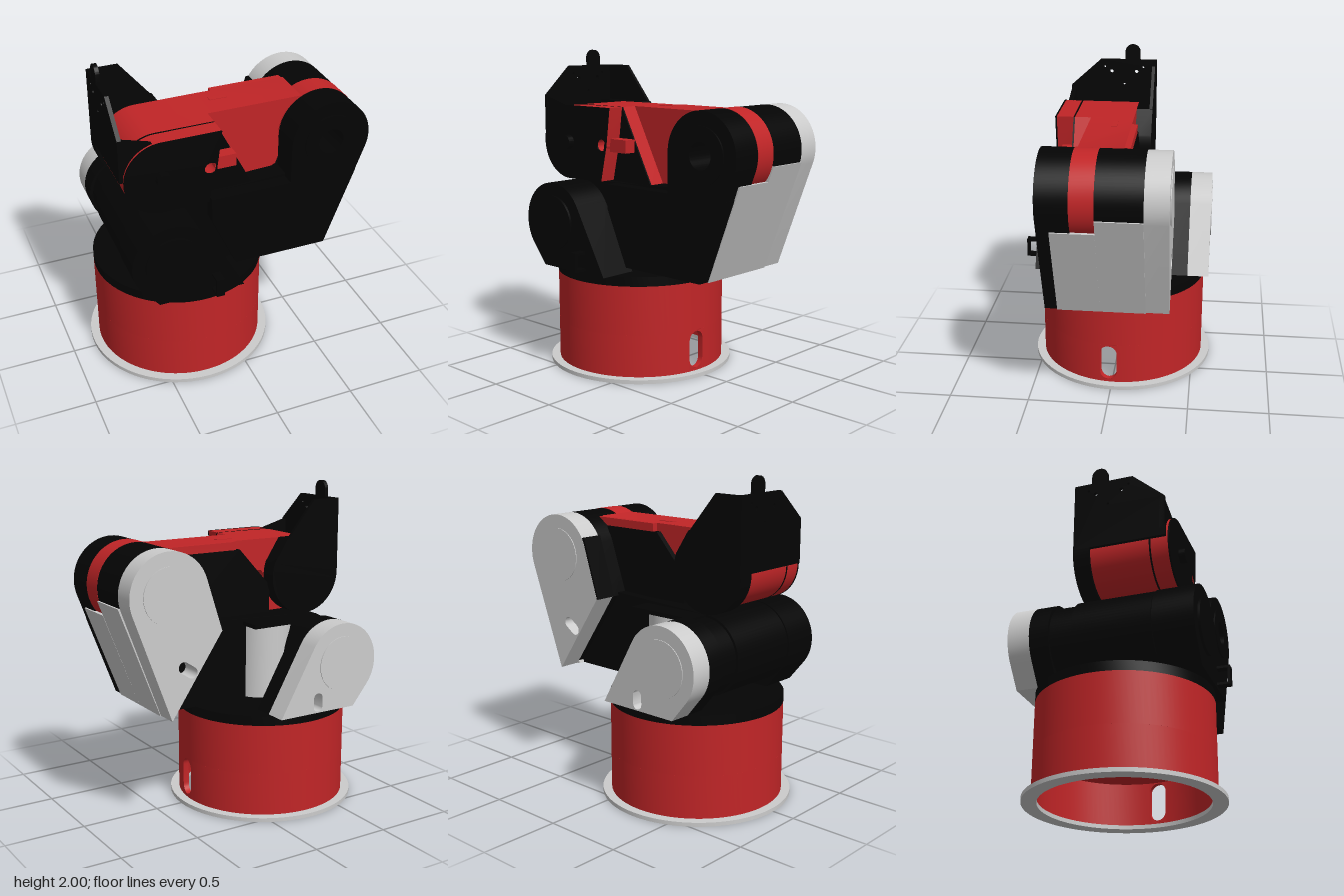
import * as THREE from 'three';
import { toCreasedNormals } from 'three/addons/utils/BufferGeometryUtils.js';

const mat = (color) => new THREE.MeshStandardMaterial({ color, side: THREE.DoubleSide });
const BLACK = mat(0x040404), RED = mat(0xc12527), GREY = mat(0xcccccc);

// Points on an arc, angles in degrees
function arc(cx, cy, r, a0 = 0, a1 = 360, n = 72) {
  return Array.from({ length: n + 1 }, (_, i) => {
    const a = THREE.MathUtils.degToRad(a0 + ((a1 - a0) * i) / n);
    return [cx + r * Math.cos(a), cy + r * Math.sin(a)];
  });
}

// Convex outline around a set of points
function hull(...pts) {
  const sorted = pts.sort((a, b) => a[0] - b[0] || a[1] - b[1]);
  const half = (list) => {
    const h = [];
    for (const p of list) {
      while (h.length > 1) {
        const [a, b] = h.slice(-2);
        if ((b[0] - a[0]) * (p[1] - a[1]) - (b[1] - a[1]) * (p[0] - a[0]) > 1e-9) break;
        h.pop();
      }
      h.push(p);
    }
    return h.slice(0, -1);
  };
  return [...half(sorted), ...half([...sorted].reverse())];
}

// Slot outline between two centres
const slot = (x0, y0, x1, y1, r) => hull(...arc(x0, y0, r, 0, 360, 24), ...arc(x1, y1, r, 0, 360, 24));

function extrude(points, depth, holes = []) {
  const toV = (list) => list.map(([x, y]) => new THREE.Vector2(x, y));
  const shape = new THREE.Shape(toV(points));
  shape.holes = holes.map((h) => new THREE.Path(toV(h)));
  return new THREE.ExtrudeGeometry(shape, { depth, bevelEnabled: false });
}

export function createModel() {
  const model = new THREE.Group();
  const add = (name, geo, material) => {
    const mesh = new THREE.Mesh(toCreasedNormals(geo, 0.5), material);
    mesh.name = name;
    model.add(mesh);
  };
  // Flat part with its outline in x/y, between two z values
  const slab = (name, points, z0, z1, material, holes) =>
    add(name, extrude(points, z1 - z0, holes).translate(0, 0, z0), material);
  const box = (name, x0, x1, y0, y1, z0, z1, material) =>
    add(name, new THREE.BoxGeometry(x1 - x0, y1 - y0, z1 - z0)
      .translate((x0 + x1) / 2, (y0 + y1) / 2, (z0 + z1) / 2), material);

  // ---- Base: hollow drum with a slot in its side ----
  const bx = -0.265, bz = -0.025, R = 0.535, RI = 0.5;
  const ring = (name, ri, ro, y0, y1, material, start = 0, length = Math.PI * 2) => {
    const profile = [[ri, y0], [ro, y0], [ro, y1], [ri, y1], [ri, y0]].map((p) => new THREE.Vector2(...p));
    add(name, new THREE.LatheGeometry(profile, 96, start, length).translate(bx, 0, bz), material);
  };
  const slotAngle = Math.PI / 2 - 0.084, span = 0.115, slotTop = 0.29;
  ring('baseFlange', RI, 0.59, 0, 0.025, GREY);
  ring('drumWallUpper', RI, R, slotTop, 0.6, RED);
  ring('drumWallLower', RI, R, 0.025, slotTop, RED, slotAngle + span, Math.PI * 2 - 2 * span);
  const steps = Array.from({ length: 9 }, (_, i) => -span + (i * span) / 4);
  const slotWall = extrude([...steps.map((a) => [a, 0.025]), ...steps.map((a) => [-a, slotTop])], R - RI,
    [slot(0, 0.1, 0, 0.225, 0.055).map(([x, y]) => [x / R, y])]);
  const pos = slotWall.attributes.position;
  for (let i = 0; i < pos.count; i++) {
    const a = slotAngle + pos.getX(i), r = RI + pos.getZ(i);
    pos.setXYZ(i, bx + r * Math.sin(a), pos.getY(i), bz + r * Math.cos(a));
  }
  slotWall.computeVertexNormals();
  add('drumSlotWall', slotWall, RED);
  ring('drumFloor', 0.001, RI, 0.285, 0.3, RED);
  ring('drumCentreBoss', 0.001, 0.08, 0.255, 0.285, RED);
  ring('turntable', 0.001, R, 0.6, 0.66, BLACK);
  box('turntableStop', 0.08, 0.19, 0.66, 0.7, -0.1, 0.1, BLACK);

  // ---- Shoulder: two upright housings with a hub between ----
  const sx = -0.48, sy = 0.945;
  const housing = () => hull(...arc(sx, sy, 0.25), [-0.57, 0.66], [-0.03, 0.66]);
  slab('shoulderFrontHousing', housing(), 0.285, 0.53, BLACK);
  slab('shoulderFrontCap', arc(sx, sy, 0.17), 0.53, 0.545, BLACK);
  slab('shoulderBackHousing', housing(), -0.46, -0.34, BLACK);
  slab('shoulderBackCover', housing(), -0.595, -0.46, GREY, [slot(-0.3, 0.7, -0.3, 0.75, 0.033)]);
  slab('shoulderBackDisc', arc(sx, sy, 0.17), -0.6, -0.595, GREY);
  slab('shoulderHub', arc(sx, sy, 0.23), -0.34, 0.285, BLACK);
  for (const [y0, y1, z0, z1] of [[0.68, 0.695, 0.53, 0.61], [0.785, 0.8, 0.53, 0.61], [0.68, 0.8, 0.595, 0.61]])
    box('handle', -0.24, -0.19, y0, y1, z0, z1, BLACK);
  add('shoulderMotor', new THREE.CylinderGeometry(0.185, 0.185, 0.46, 48).translate(-0.2, 0.935, -0.12), GREY);
  box('shoulderMotorRoof', -0.48, -0.01, 1.165, 1.19, -0.34, 0, BLACK);

  // ---- Upper arm, rising to a forked elbow ----
  const ex = 0.595, ey = 1.44, er = 0.255;
  const elbow = (...corners) => hull(...arc(ex, ey, er), [0.59, 0.7], ...corners);
  const axleHole = arc(ex, ey, 0.08, 0, 355, 71);
  slab('upperArm', hull(...arc(sx, sy, 0.245), [0.59, 0.7], [0.8, 1.24], [0.34, 1.2]), -0.2, 0.28, BLACK);
  slab('upperArmFrontPlate', [[-0.17, 1.2], [-0.17, 1.05], [-0.01, 0.7], [0.59, 0.7], [0.78, 1.2]], 0.28, 0.36, BLACK);
  slab('elbowFrontFork', elbow([0.34, 1.2]), 0.17, 0.36, BLACK, [axleHole]);
  slab('elbowBackFork', elbow([0.24, 1.2]), -0.24, 0.03, BLACK);
  slab('elbowFrontCap', arc(ex, ey, 0.17), 0.36, 0.37, BLACK, [axleHole]);
  slab('elbowAxle', arc(ex, ey, 0.046), 0.17, 0.18, RED);
  slab('elbowBackCover', elbow([0.25, 1.2]), -0.38, -0.24, GREY, [slot(0.455, 0.975, 0.51, 1.012, 0.035)]);
  slab('elbowBackDisc', arc(ex, ey, 0.17), -0.385, -0.38, GREY);
  slab('elbowCoverEdge', [[0.238, 1.2], [0.254, 1.2], [0.375, 1.57], [0.355, 1.57]], -0.379, -0.24, BLACK);
  // Grey end panel, stepped at its top
  const panel = (x, y) => [[0.57, 0.7], [0.592, 0.695], [x + 0.008, y], [x - 0.03, y]];
  slab('endPanelTall', panel(0.845, 1.37), -0.24, 0.03, GREY);
  slab('endPanelShort', panel(0.812, 1.28), 0.03, 0.285, GREY);

  // ---- Forearm: web at the elbow, rounded box at the wrist ----
  slab('elbowRing', arc(ex, ey, er + 0.002), 0.03, 0.17, RED);
  slab('forearmWeb', [[0.1, 1.21], [0.28, 1.21], [0.325, 1.235], [0.342, 1.28],
    ...arc(ex, ey, 0.257, 190, 116, 24), [0.48, 1.67], [-0.13, 1.67]], -0.1, 0.165, RED);
  slab('forearmTopRib', [[0, 1.62], [0.4, 1.62], [0.47, 1.67], [0, 1.67]], -0.135, -0.1, RED);
  slab('forearmBackCover', [[-0.25, 1.21], [0.28, 1.21], [0.335, 1.27], [0.335, 1.45], [0.4, 1.62],
    [-0.03, 1.62], [-0.25, 1.38]], -0.135, -0.1, BLACK);
  const wx = -0.48, wy = 1.44;
  // The outer half of the wrist stops short; the inner half follows the slanted wall
  const inner = (r) => hull(...arc(wx, wy, r), [-0.12, 1.67], [0.12, 1.21]);
  const outer = (r) => hull(...arc(wx, wy, r), [-0.12, 1.67], [-0.15, 1.44], [-0.2, 1.215]);
  const shortSlot = slot(-0.19, wy, -0.185, wy, 0.036);
  slab('wristInner', inner(0.228), -0.1, 0.265, RED, [shortSlot]);
  slab('wristInnerPlate', inner(0.23), 0.265, 0.275, BLACK, [shortSlot]);
  slab('wristOuter', outer(0.228), 0.275, 0.38, RED, [shortSlot]);
  slab('wristFrontPlate', outer(0.23), 0.38, 0.39, BLACK, [shortSlot]);
  box('wristBar', -0.15, -0.015, 1.4, 1.48, 0.27, 0.35, RED);
  slab('wristAxleCap', arc(wx, wy, 0.045), 0.39, 0.43, BLACK);
  slab('wristBackPlate', hull(...arc(wx, wy, 0.25, 180, 380), [-0.73, 1.67], [-0.34, 1.67]), -0.2, -0.1, BLACK);
  box('forearmLabelPlate', -0.05, 0.06, 1.66, 1.673, -0.015, 0.02, RED);

  // ---- Tool mounting plate at the end of the wrist ----
  const holes = [[0.145, 1.85, 0.008], [0.1, 1.82, 0.013], [-0.065, 1.82, 0.013], [-0.11, 1.85, 0.008], [0.015, 1.735, 0.008]];
  const plate = extrude([[-0.2, 1.45], [0.37, 1.45], [0.37, 1.72], [0.17, 1.9], [0.01, 1.9],
    ...arc(-0.04, 1.95, 0.05, 0, 180, 24), [-0.09, 1.9], [-0.2, 1.9]], 0.025,
    holes.map(([z, y, r]) => arc(z, y, r, 0, 345, 23)));
  add('toolPlate', plate.rotateY(-Math.PI / 2).translate(-0.705, 0, 0), BLACK);
  slab('toolPlateBackGusset', [[-0.73, 1.66], [-0.34, 1.66], [-0.54, 1.9], [-0.73, 1.9]], -0.2, -0.18, BLACK);
  slab('toolPlateFrontGusset', [[-0.73, 1.5], [-0.6, 1.5], [-0.52, 1.66], [-0.55, 1.67], [-0.73, 1.72]], 0.335, 0.365, BLACK);
  return model;
}
